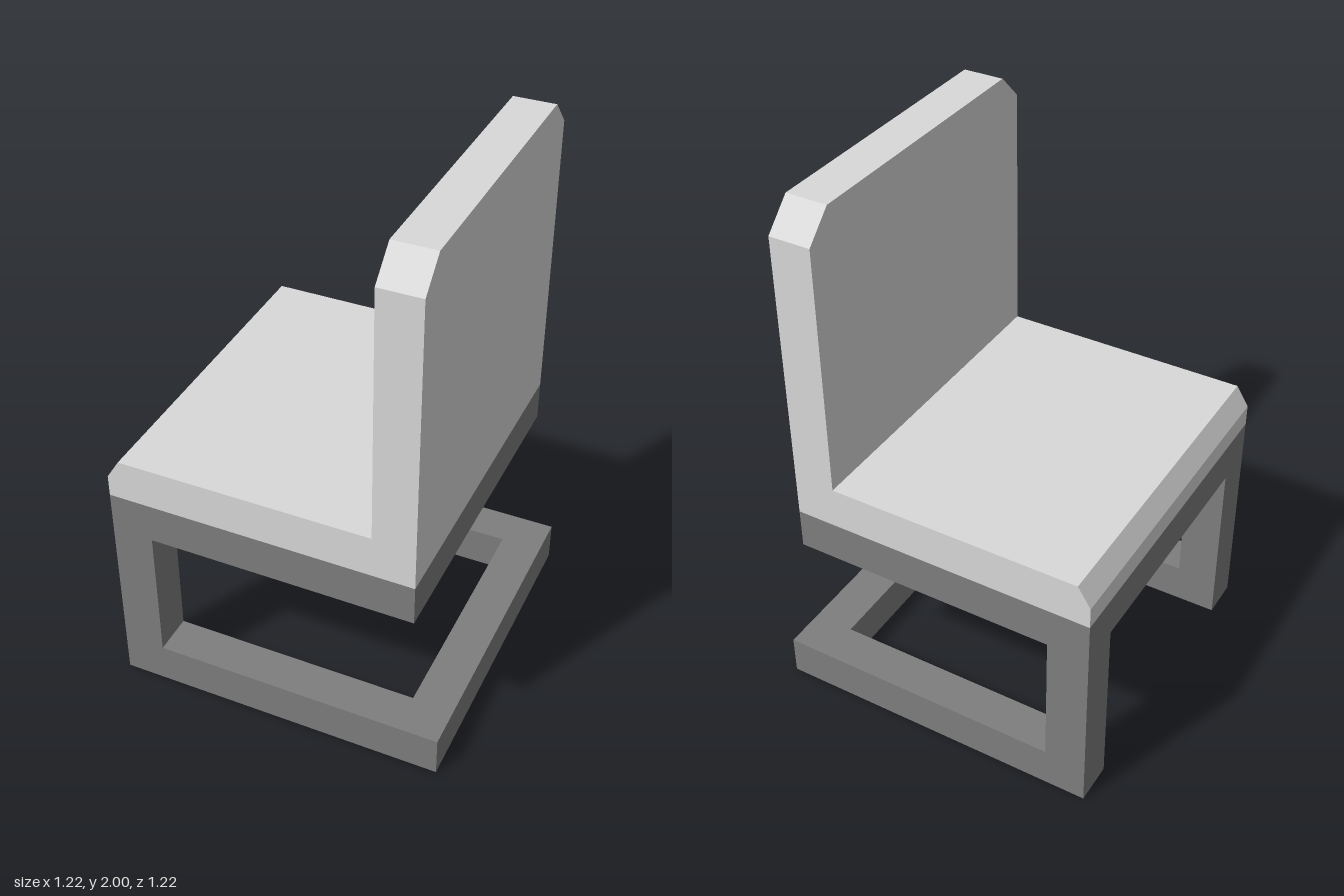
import * as THREE from 'three';

const HALF = 0.612; // half of the chair's width
const BAR = 0.152; // thickness of every frame bar
const INNER = HALF - BAR;

// Closed outline extruded along z, starting at z0
function extrude(points, z0, depth) {
  const shape = new THREE.Shape(points.map(([x, y]) => new THREE.Vector2(x, y)));
  return new THREE.ExtrudeGeometry(shape, { depth, bevelEnabled: false }).translate(0, 0, z0);
}

export function createModel() {
  const model = new THREE.Group();
  model.name = 'cantileverChair';

  const cushion = new THREE.MeshStandardMaterial({ color: 0xd9d9d9 });
  cushion.name = 'light grey cushion';
  const metal = new THREE.MeshStandardMaterial({ color: 0x7e7e7e });
  metal.name = 'dark grey frame';

  function add(name, geometry, material) {
    const mesh = new THREE.Mesh(geometry, material);
    mesh.name = name;
    model.add(mesh);
  }

  // Seat slab with a chamfered front edge (the chair faces -x)
  add('seat', extrude([
    [-HALF, 0.82], [0.36, 0.82], [0.36, 0.975], [-0.565, 0.975], [-HALF, 0.9],
  ], -HALF, 2 * HALF), cushion);

  // Backrest with chamfered top corners, outlined in z and y
  add('backrest', extrude([
    [-HALF, 0.82], [HALF, 0.82], [HALF, 1.9], [0.512, 2], [-0.512, 2], [-HALF, 1.9],
  ], 0.36, BAR).rotateY(Math.PI / 2), cushion);

  // C-shaped side frames: floor rail, front post and seat rail
  for (const [name, z] of [['sideFrameFar', -HALF], ['sideFrameNear', INNER]]) {
    add(name, extrude([
      [-HALF, 0], [HALF, 0], [HALF, BAR], [-INNER, BAR],
      [-INNER, 0.67], [0.512, 0.67], [0.512, 0.82], [-HALF, 0.82],
    ], z, BAR), metal);
  }

  // Cross bars joining the side frames
  for (const [name, x, y] of [
    ['seatFrontBar', -HALF, 0.67],
    ['seatRearBar', 0.36, 0.67],
    ['floorRearBar', INNER, 0],
  ]) {
    const height = y > 0 ? 0.15 : BAR;
    const bar = new THREE.BoxGeometry(BAR, height, 2 * INNER);
    add(name, bar.translate(x + BAR / 2, y + height / 2, 0), metal);
  }

  return model;
}
